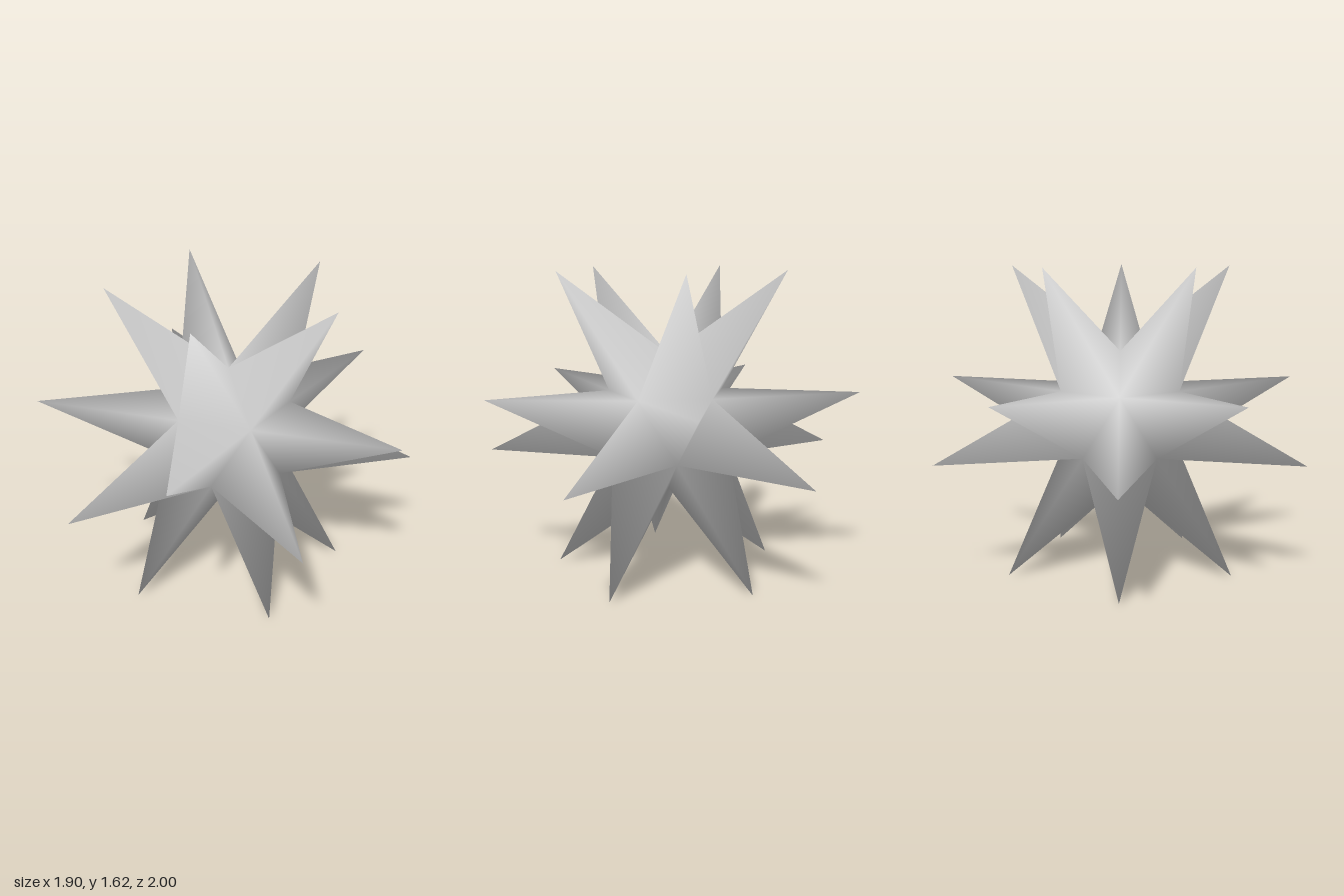
import * as THREE from 'three';

const CORE = 0.363; // radius of the valley points (icosahedron corners)
const TIP = 1.0176; // radius of the spike tips
const CENTER_Y = 0.809;

// Twelve icosahedron corners: two poles and two staggered rings of five
function coreCorners() {
  const ring = (y, offset) => Array.from({ length: 5 }, (_, i) => {
    const a = (i * 72 + offset) * Math.PI / 180;
    const r = CORE * 2 / Math.sqrt(5);
    return new THREE.Vector3(r * Math.sin(a), y, r * Math.cos(a));
  });
  const h = CORE / Math.sqrt(5);
  return [
    new THREE.Vector3(0, CORE, 0), ...ring(h, 0),
    ...ring(-h, 36), new THREE.Vector3(0, -CORE, 0),
  ];
}

// Twenty core triangles, counter-clockwise from outside
function coreTriangles() {
  const tris = [];
  for (let i = 0; i < 5; i++) {
    const j = (i + 1) % 5;
    const up = 1 + i, upNext = 1 + j, low = 6 + i, lowNext = 6 + j;
    tris.push([0, up, upNext], [up, low, upNext], [low, lowNext, upNext], [11, lowNext, low]);
  }
  return tris;
}

export function createModel() {
  const points = coreCorners();
  const index = [];

  // Raise a three-sided spike on every core triangle; shared points shade smoothly
  for (const [a, b, c] of coreTriangles()) {
    const tip = points.length;
    points.push(points[a].clone().add(points[b]).add(points[c]).setLength(TIP));
    index.push(a, b, tip, b, c, tip, c, a, tip);
  }

  const geometry = new THREE.BufferGeometry().setFromPoints(points);
  geometry.setIndex(index);
  geometry.computeVertexNormals();

  const star = new THREE.Mesh(geometry, new THREE.MeshStandardMaterial({ color: 0xcccccc }));
  star.name = 'spikedStar';
  star.position.y = CENTER_Y;

  const group = new THREE.Group();
  group.name = 'starPolyhedron';
  group.add(star);
  return group;
}
